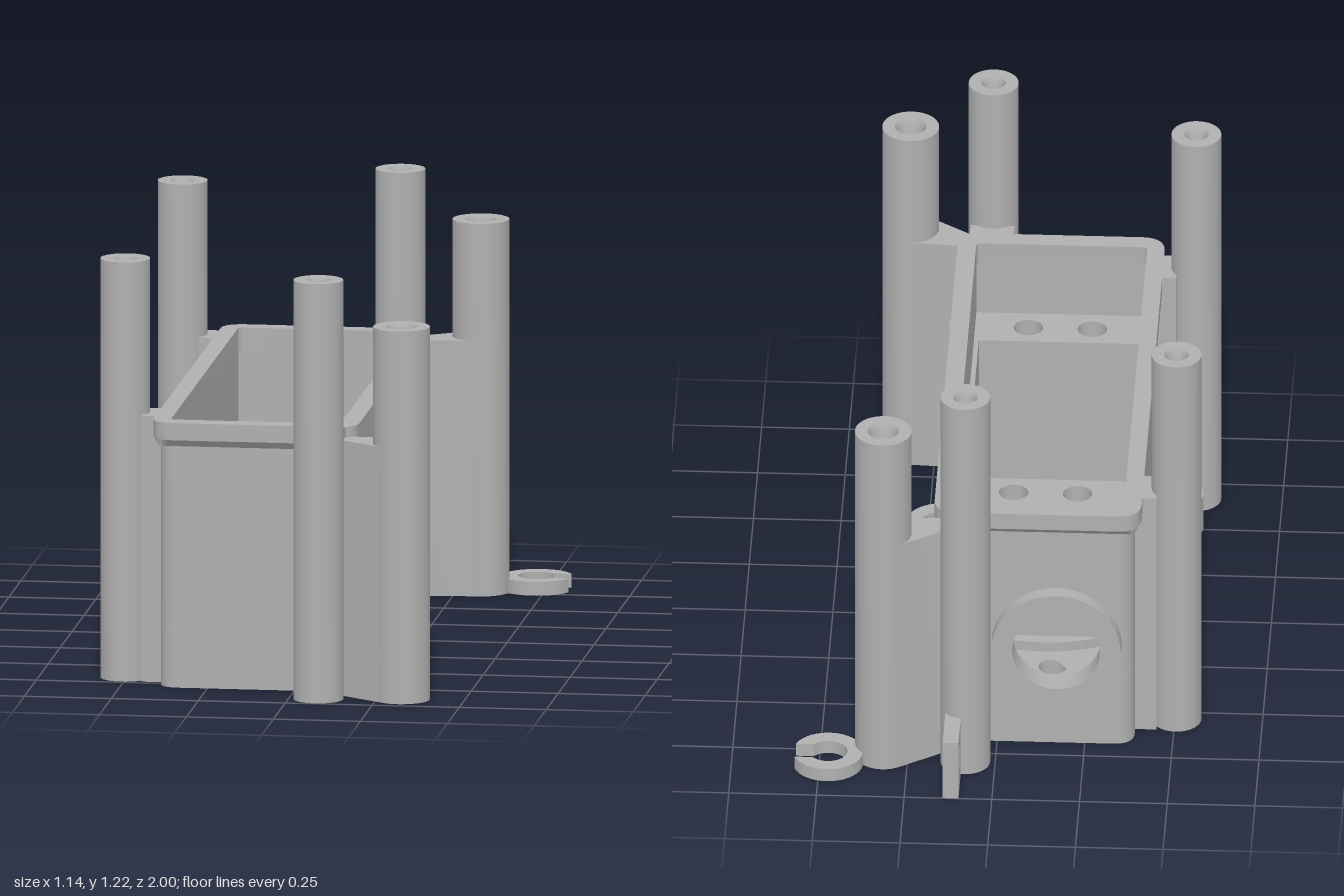
import * as THREE from 'three';
import { toCreasedNormals } from 'three/addons/utils/BufferGeometryUtils.js';

const plastic = new THREE.MeshStandardMaterial({ color: 0xb0b0b0 });
plastic.name = 'grey plastic';

// Shapes are drawn in plan as (x, z)
const poly = (pts) => new THREE.Shape(pts.map(([x, z]) => new THREE.Vector2(x, z)));
const circle = (x, z, r) => new THREE.Shape().absarc(x, z, r, 0, Math.PI * 2, false);
function roundRect(x0, x1, z0, z1, r) {
  const s = new THREE.Shape();
  s.moveTo(x0 + r, z0);
  s.lineTo(x1 - r, z0).quadraticCurveTo(x1, z0, x1, z0 + r);
  s.lineTo(x1, z1 - r).quadraticCurveTo(x1, z1, x1 - r, z1);
  s.lineTo(x0 + r, z1).quadraticCurveTo(x0, z1, x0, z1 - r);
  s.lineTo(x0, z0 + r).quadraticCurveTo(x0, z0, x0 + r, z0);
  return s;
}
function withHoles(shape, ...holes) {
  shape.holes.push(...holes);
  return shape;
}
const extrude = (shape, depth) =>
  new THREE.ExtrudeGeometry(shape, { depth, bevelEnabled: false, curveSegments: 20 });

// Plan shape raised from y0 to y1
const slab = (shape, y0, y1) => extrude(shape, y1 - y0).rotateX(Math.PI / 2).translate(0, y1, 0);

export function createModel() {
  const model = new THREE.Group();
  model.name = 'serviceHousing';
  const add = (name, geometry) => {
    const mesh = new THREE.Mesh(toCreasedNormals(geometry, 0.6), plastic);
    mesh.name = name;
    model.add(mesh);
    return mesh;
  };
  const box = (name, x0, x1, y0, y1, z0, z1) =>
    add(name, new THREE.BoxGeometry(x1 - x0, y1 - y0, z1 - z0)
      .translate((x0 + x1) / 2, (y0 + y1) / 2, (z0 + z1) / 2));

  // Side and front walls, with a rounded screw recess in the lower left wall
  const walls = (notched) => {
    const s = new THREE.Shape();
    s.moveTo(0.1, -0.68);
    s.quadraticCurveTo(0.16, -0.68, 0.16, -0.62);
    if (notched) {
      s.lineTo(0.16, 0.269);
      s.absarc(0.2, 0.32, 0.065, -2.236, 2.236 - Math.PI * 2, true);
    }
    s.lineTo(0.16, 0.75);
    s.quadraticCurveTo(0.16, 0.81, 0.1, 0.81);
    s.lineTo(-0.33, 0.81);
    s.quadraticCurveTo(-0.39, 0.81, -0.39, 0.75);
    s.lineTo(-0.39, -0.62);
    s.quadraticCurveTo(-0.39, -0.68, -0.33, -0.68);
    for (const [x, z] of [[-0.33, -0.648], [-0.36, -0.648], [-0.36, 0.773],
      [0.127, 0.773], [0.127, -0.648], [0.1, -0.648]]) s.lineTo(x, z);
    return s;
  };
  add('lowerWalls', slab(walls(true), 0, 0.195));
  add('upperWalls', slab(walls(false), 0.195, 0.72));

  // Back wall with round port and its raised collar
  const backWall = withHoles(poly([[-0.33, 0], [0.1, 0], [0.1, 0.72], [-0.33, 0.72]]),
    circle(-0.17, 0.33, 0.125));
  add('backWall', extrude(backWall, 0.032).translate(0, 0, -0.68));
  const collar = withHoles(circle(-0.17, 0.33, 0.185), circle(-0.17, 0.33, 0.125));
  add('portCollar', extrude(collar, 0.05).translate(0, 0, -0.725));

  // Rim flange with chamfered underside
  const inner = () => roundRect(-0.36, 0.127, -0.648, 0.773, 0.015);
  const rim = () => withHoles(roundRect(-0.41, 0.18, -0.7, 0.828, 0.07), inner());
  add('rim', slab(rim(), 0.72, 0.77));
  const chamfer = slab(rim(), 0.7, 0.72);
  const cp = chamfer.attributes.position;
  for (let i = 0; i < cp.count; i++) {
    if (cp.getY(i) > 0.71) continue;
    cp.setX(i, THREE.MathUtils.clamp(cp.getX(i), -0.39, 0.16));
    cp.setZ(i, THREE.MathUtils.clamp(cp.getZ(i), -0.68, 0.81));
  }
  add('rimChamfer', chamfer);
  box('rimTab', 0.15, 0.183, 0.71, 0.769, 0.31, 0.35);

  // Floor: the large opening flares out towards its top
  const cx = -0.115, cz = 0.063;
  const floor = slab(withHoles(inner(), circle(cx, cz, 0.16), circle(-0.145, -0.4, 0.04)), 0, 0.08);
  const fp = floor.attributes.position;
  for (let i = 0; i < fp.count; i++) {
    const dx = fp.getX(i) - cx, dz = fp.getZ(i) - cz;
    if (fp.getY(i) > 0.04 && Math.hypot(dx, dz) < 0.17) {
      fp.setX(i, cx + dx * 0.23 / 0.16);
      fp.setZ(i, cz + dz * 0.23 / 0.16);
    }
  }
  add('floor', floor);
  const crescent = new THREE.Shape();
  crescent.absarc(cx, cz, 0.38, -Math.PI / 2 - 0.446, -Math.PI / 2 + 0.446, false);
  add('floorBoss', slab(crescent, 0.08, 0.11));

  // Inner mounting blocks around a rectangular pocket
  const screwHoles = [];
  for (const x of [-0.207, -0.025]) for (const z of [-0.205, 0.695]) screwHoles.push(circle(x, z, 0.042));
  const mount = withHoles(poly([[-0.36, -0.28], [0.127, -0.28], [0.127, 0.773], [-0.36, 0.773]]),
    poly([[-0.35, -0.13], [0.113, -0.13], [0.113, 0.62], [-0.35, 0.62]]), ...screwHoles);
  add('mountingBlocks', slab(mount, 0.08, 0.54));

  // Round posts with blind screw holes
  const post = (name, x, z, r, h, hole) => {
    const profile = [[0, 0], [r, 0], [r, h], [hole + 0.008, h], [hole, h - 0.015], [hole, h - 0.25], [0, h - 0.25]];
    add(name, new THREE.LatheGeometry(profile.map(([a, b]) => new THREE.Vector2(a, b)), 40).translate(x, 0, z));
  };
  for (const z of [0.67, -0.535]) {
    post('rightPost', -0.505, z, 0.071, 1.215, 0.027);
    box('rightPostWeb', -0.45, -0.38, 0, 0.77, z - 0.062, z + 0.062);
  }
  post('frontPost', 0.085, 0.925, 0.071, 1.215, 0.027);
  box('frontPostWeb', 0.022, 0.148, 0, 0.77, 0.79, 0.872);
  post('backPost', 0.085, -0.795, 0.071, 1.215, 0.027);
  box('backPostWeb', 0.022, 0.148, 0, 0.77, -0.742, -0.66);
  post('frontCornerPost', 0.32, 0.895, 0.081, 1.08, 0.037);
  add('frontCornerWeb', slab(poly([[0.1, 0.79], [0.15, 0.805], [0.33, 0.815], [0.28, 0.965], [0.148, 0.87], [0.1, 0.87]]), 0, 0.74));
  post('backCornerPost', 0.32, -0.77, 0.081, 1.08, 0.037);
  add('backCornerWeb', slab(poly([[0.1, -0.74], [0.148, -0.75], [0.28, -0.841], [0.34, -0.692], [0.15, -0.68], [0.1, -0.66]]), 0, 0.74));

  // Left screw lug with counterbore
  const cup = new THREE.Shape();
  cup.absarc(0.2, 0.32, 0.11, -1.943, 1.943, false);
  cup.absarc(0.2, 0.32, 0.065, 2.236, -2.236, true);
  add('leftLugCup', slab(cup, 0.03, 0.11));
  const base = new THREE.Shape();
  base.absarc(0.2, 0.32, 0.11, -2.26, 2.26, false);
  add('leftLugBase', slab(withHoles(base, circle(0.2, 0.32, 0.033)), 0, 0.03));

  // Right screw lug, tapering into the wall
  const lug = new THREE.Shape();
  lug.moveTo(-0.38, 0.38);
  lug.lineTo(-0.38, 0.64);
  lug.lineTo(-0.42, 0.6);
  lug.absarc(-0.453, 0.512, 0.08, 1.5, 3.75, false);
  add('rightLug', slab(withHoles(lug, circle(-0.453, 0.512, 0.032)), 0, 0.11));

  // Open cable clip
  const clip = new THREE.Shape();
  clip.absarc(0.475, -0.823, 0.1, 0.36, Math.PI * 2 - 0.36, false);
  clip.absarc(0.475, -0.823, 0.055, Math.PI * 2 - 0.69, 0.69, true);
  add('cableClip', slab(clip, 0, 0.04));

  // Slotted back tab, drawn as (-z, y) and turned to face sideways
  const tab = withHoles(poly([[0.8, 0], [1, 0], [1, 0.185], [0.8, 0.185]]),
    poly([[0.935, 0.07], [0.965, 0.07], [0.965, 0.145], [0.935, 0.145]]));
  add('slottedTab', extrude(tab, 0.045).rotateY(Math.PI / 2).translate(0.095, 0, 0));

  return model;
}
